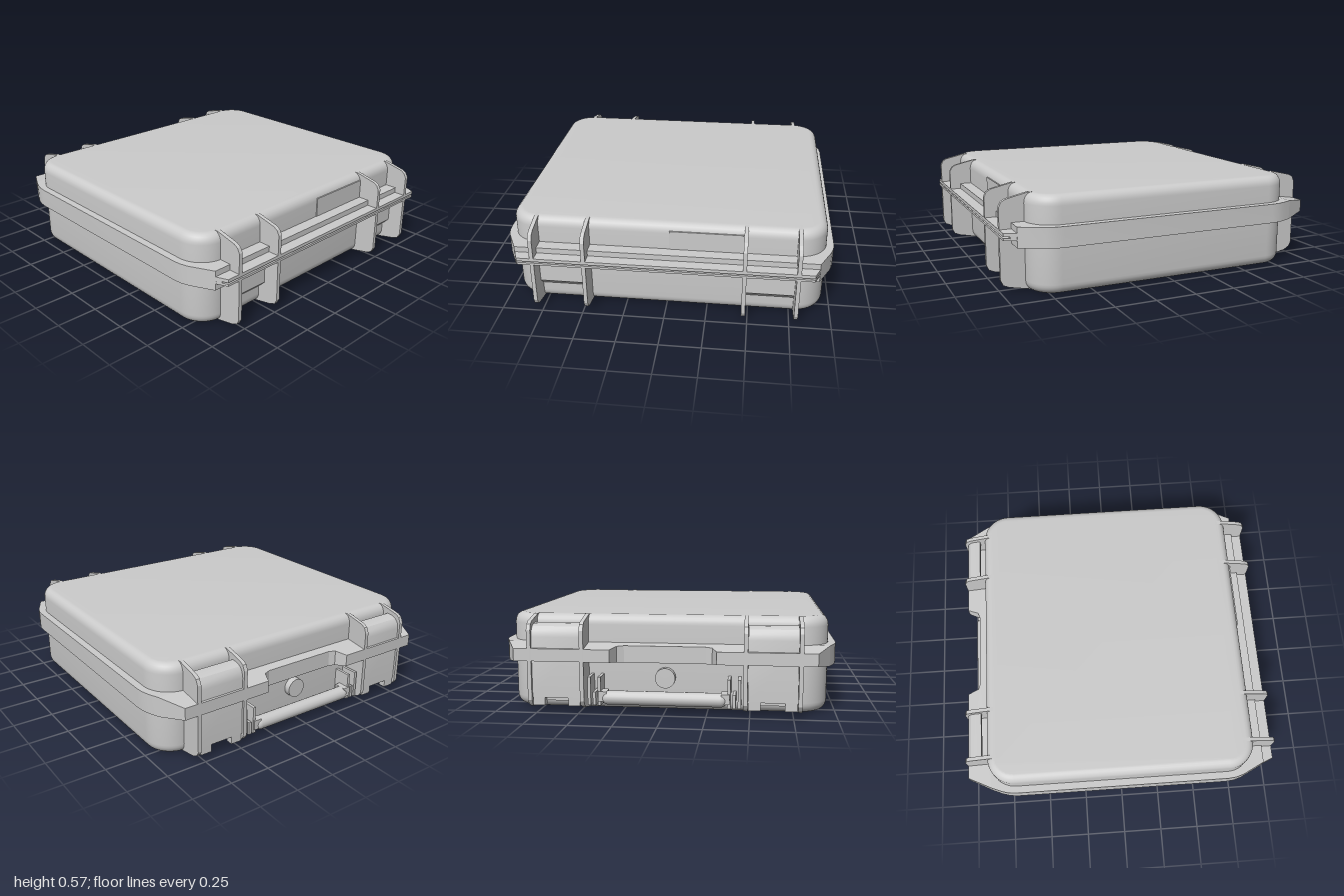
import * as THREE from 'three';
import { toCreasedNormals } from 'three/addons/utils/BufferGeometryUtils.js';

const grey = new THREE.MeshStandardMaterial({ color: 0xcccccc });
const SEAM = 0.345;

export function createModel() {
  const model = new THREE.Group();

  const add = (name, geometry, x = 0, y = 0, z = 0) => {
    const mesh = new THREE.Mesh(geometry, grey);
    mesh.name = name;
    mesh.position.set(x, y, z);
    model.add(mesh);
    return mesh;
  };
  const box = (name, w, h, d, x, y, z) => add(name, new THREE.BoxGeometry(w, h, d), x, y, z);
  const polygon = (points) => new THREE.Shape(points.map(([a, b]) => new THREE.Vector2(a, b)));

  // Plan outline of [x, z] points, extruded upwards from y0 to y1
  const plan = (points, y0, y1) =>
    new THREE.ExtrudeGeometry(polygon(points.map(([x, z]) => [x, -z])), { depth: y1 - y0, bevelEnabled: false })
      .rotateX(-Math.PI / 2).translate(0, y0, 0);

  // Side profile of [z, y] points, extruded along x and centred on x = 0
  const profile = (points, width) =>
    new THREE.ExtrudeGeometry(polygon(points), { depth: width, bevelEnabled: false })
      .rotateY(-Math.PI / 2).translate(width / 2, 0, 0);

  // Completes a half outline (x > 0) with its mirror image
  const mirrored = (half) => [...half, ...half.map(([x, z]) => [-x, z]).reverse()];

  // Case shell: rounded rectangle with rolled top and bottom edges
  const shell = new THREE.Shape();
  const w = 0.905, d = 0.805, r = 0.12;
  shell.moveTo(-w + r, -d);
  [[w, -d, 0], [w, d, 1], [-w, d, 2], [-w, -d, 3]].forEach(([x, y, i]) => {
    shell.absarc(x - Math.sign(x) * r, y - Math.sign(y) * r, r, (i - 1) * Math.PI / 2, i * Math.PI / 2, false);
  });
  const shellGeometry = new THREE.ExtrudeGeometry(shell, {
    depth: 0.45, bevelThickness: 0.06, bevelSize: 0.05, bevelSegments: 6, curveSegments: 8,
  }).rotateX(-Math.PI / 2).translate(0, 0.06, 0);
  add('caseShell', toCreasedNormals(shellGeometry, 0.5));

  // Rim around the seam
  add('rim', toCreasedNormals(plan(mirrored([
    [0.955, -0.85], [0.98, -0.79], [0.995, -0.74], [1, -0.69],
    [1, 0.69], [0.995, 0.74], [0.98, 0.79], [0.91, 0.93],
  ]), 0.285, 0.405), 0.4));

  // Rear rim, thinning towards its edge, with a hand cut-out
  const rear = plan(mirrored([
    [0.24, -0.915], [0.28, -0.93], [0.31, -1], [0.88, -1], [0.955, -0.85],
  ]), 0.285, 0.405);
  const p = rear.attributes.position;
  for (let i = 0; i < p.count; i++) {
    const t = Math.max(0, -0.85 - p.getZ(i)) / 0.15;
    p.setY(i, SEAM + (p.getY(i) - SEAM) * (1 - 0.38 * t));
  }
  rear.computeVertexNormals();
  add('rearRim', rear);

  // Front lips of lid and base, parted by a narrow groove
  const lip = mirrored([[0.92, 0.9], [0.905, 0.94], [0.88, 1]]);
  add('lidLip', plan(lip, 0.35, 0.37));
  add('baseLip', plan(lip, 0.327, 0.341));
  add('lipCore', plan(mirrored([[0.92, 0.9], [0.895, 0.965]]), 0.335, 0.355));
  box('lipTab', 0.34, 0.012, 0.06, 0, 0.324, 0.95);

  // Label plate on the front of the lid
  box('frontPlate', 0.44, 0.12, 0.03, 0.24, 0.467, 0.846);

  const lidRib = [[0.78, 0.57], [0.83, 0.57], [0.96, 0.54], [0.985, 0.525], [1, 0.495], [1, 0.365], [0.78, 0.365]];
  const baseRib = [[0.78, 0], [0.82, 0.003], [0.95, 0.03], [0.985, 0.045], [1, 0.075], [1, 0.33], [0.78, 0.33]];
  const rearRib = [
    [-0.78, 0.57], [-0.83, 0.57], [-0.96, 0.54], [-0.985, 0.525], [-1, 0.49],
    [-1, 0.075], [-0.985, 0.05], [-0.95, 0.03], [-0.8, 0], [-0.78, 0],
  ];

  for (const side of [-1, 1]) {
    // Stiffening ribs, front and rear
    for (const x of [0.475, 0.787]) {
      add('frontLidRib', profile(lidRib, 0.024), side * x);
      add('frontBaseRib', profile(baseRib, 0.024), side * x);
      add('rearRib', profile(rearRib, 0.024), side * x);
    }

    // Hinge block between the front ribs
    const mid = side * 0.631;
    add('hinge', profile([[0.84, 0.33], [0.9, 0.33], [0.9, 0.155], [0.86, 0.115], [0.84, 0.115]], 0.29), mid);

    // Latch plate between the rear ribs, curling over the lid
    add('latch', toCreasedNormals(profile([
      [-0.89, 0.49], [-0.89, 0.525], [-0.93, 0.522], [-0.96, 0.51], [-0.98, 0.485], [-0.988, 0.45],
      [-0.988, 0.09], [-0.94, 0.09], [-0.94, 0.47],
    ], 0.285), 0.5), mid);
    for (const k of [-1, 1]) box('latchLug', 0.07, 0.05, 0.045, mid + k * 0.105, 0.067, -0.963);
    box('latchHook', 0.14, 0.07, 0.1, mid, 0.1, -0.9);

    // Slotted handle pivot
    for (const k of [-1, 0, 1]) {
      const h = k ? 0.17 : 0.08;
      box('handlePivot', 0.018, h, 0.12, side * 0.41 + k * 0.03, 0.045 + h / 2, -0.905);
    }
    box('handleArm', 0.05, 0.06, 0.08, side * 0.36, 0.1, -0.935);
  }

  // Folded carrying handle
  add('handleGrip', new THREE.CapsuleGeometry(0.042, 0.66, 6, 16).rotateZ(Math.PI / 2), 0, 0.09, -0.945);

  // Round boss behind the handle
  add('boss', new THREE.CylinderGeometry(0.06, 0.06, 0.05, 24).rotateX(Math.PI / 2), 0, 0.2, -0.87);

  return model;
}
